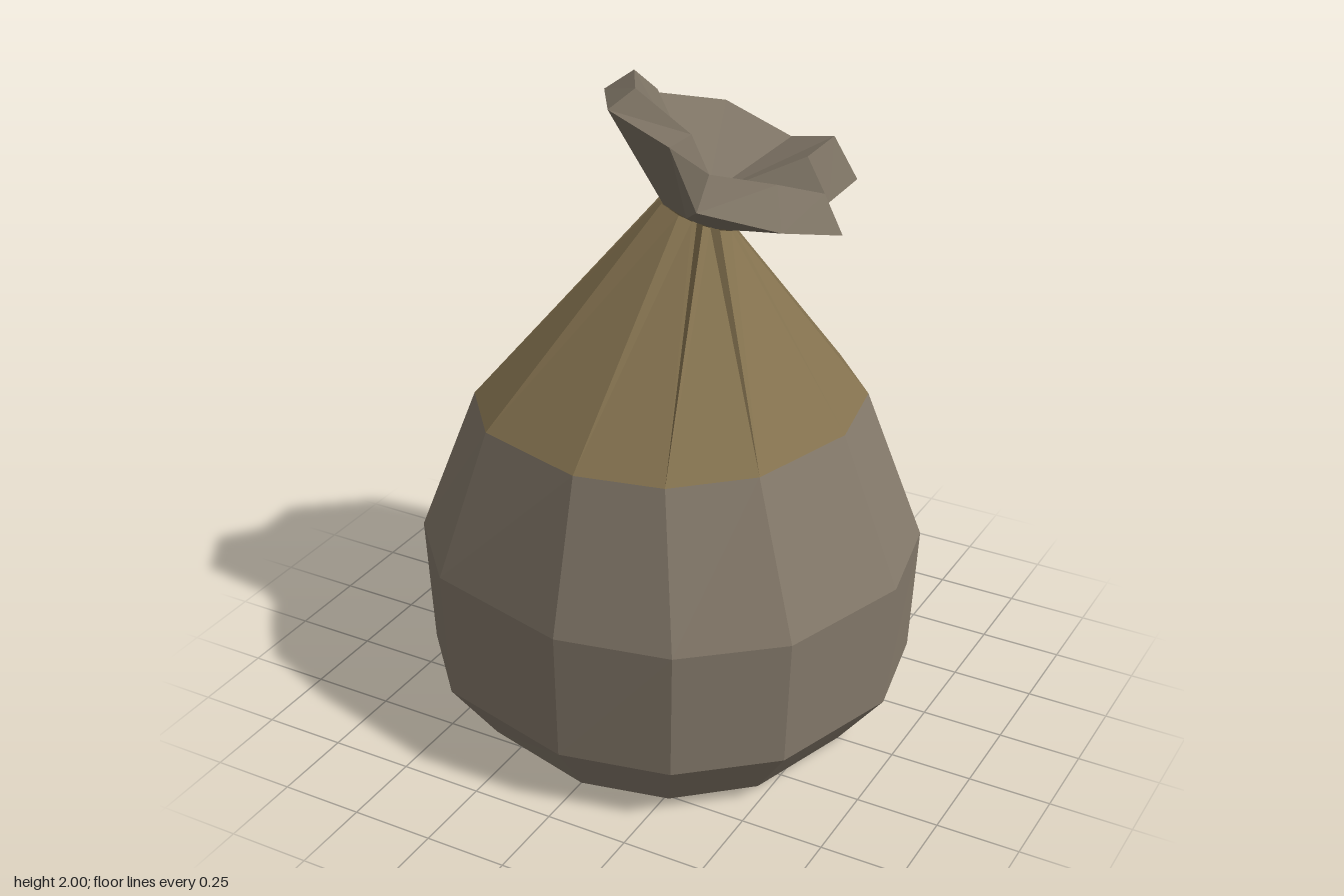
import * as THREE from 'three';

// Widest outline of the sack [x, z], clockwise seen from above
const OUTLINE = [
  [0, -0.71], [0.43, -0.57], [0.67, -0.33], [0.735, 0], [0.6, 0.41], [0.34, 0.63],
  [0, 0.7], [-0.46, 0.58], [-0.68, 0.34], [-0.735, 0.01], [-0.66, -0.31], [-0.42, -0.565],
];
// Flared mouth: outer hem and inner lip [x, y, z], same winding
const HEM = [
  [-0.29, 1.75, -0.29], [-0.1, 1.69, -0.495], [0.14, 1.6, -0.535], [0.36, 1.62, -0.46],
  [0.375, 1.63, -0.23], [0.5, 1.62, -0.055], [0.44, 1.71, 0.205], [0.255, 1.78, 0.34],
  [0.1, 1.89, 0.205], [-0.11, 1.95, 0.17], [-0.22, 1.94, 0], [-0.2, 1.85, -0.13],
];
const LIP = [
  [-0.205, 1.85, -0.27], [-0.06, 1.8, -0.435], [0.14, 1.71, -0.47], [0.305, 1.76, -0.41],
  [0.32, 1.77, -0.2], [0.44, 1.73, -0.06], [0.385, 1.81, 0.125], [0.25, 1.86, 0.26],
  [0.13, 1.91, 0.135], [-0.06, 2.0, 0.105], [-0.14, 2.0, -0.03], [-0.13, 1.91, -0.145],
];
const NECK = { x: 0.05, y: 1.6, z: -0.05 };

const ring = (y, sx, sz) => OUTLINE.map(([x, z]) => [x * sx, y, z * sz]);
const point = (x, y, z, n = 12) => Array.from({ length: n }, () => [x, y, z]);

// Point on the tilted neck at a given angle and radius
function neckPoint(angle, r) {
  const dx = Math.cos(angle) * r, dz = Math.sin(angle) * r;
  return [NECK.x + dx, NECK.y - 0.3 * dx + 0.3 * dz, NECK.z + dz];
}

// Faceted skin through a stack of rings, skipping collapsed triangles
function loft(name, color, rings) {
  const pos = [];
  const same = (p, q) => p.every((v, k) => Math.abs(v - q[k]) < 1e-6);
  const tri = (p, q, r) => {
    if (!same(p, q) && !same(q, r) && !same(r, p)) pos.push(...p, ...q, ...r);
  };
  for (let k = 0; k < rings.length - 1; k++) {
    const a = rings[k], b = rings[k + 1];
    for (let i = 0; i < a.length; i++) {
      const j = (i + 1) % a.length;
      tri(a[j], a[i], b[i]);
      tri(a[j], b[i], b[j]);
    }
  }
  const geo = new THREE.BufferGeometry();
  geo.setAttribute('position', new THREE.Float32BufferAttribute(pos, 3));
  geo.computeVertexNormals();
  const mesh = new THREE.Mesh(geo, new THREE.MeshStandardMaterial({
    color, flatShading: true, roughness: 0.9, side: THREE.DoubleSide,
  }));
  mesh.name = name;
  return mesh;
}

export function createModel() {
  const group = new THREE.Group();
  group.name = 'tiedSack';
  const shoulder = ring(1.04, 0.755, 0.82);

  // Bulging sack with a flat base
  group.add(loft('sackBody', 0x857a6b, [
    point(0, 0, 0), ring(0, 0.775, 0.81), ring(0.18, 0.97, 0.985), ring(0.58, 1, 1), shoulder,
  ]));

  // Gathered cone: creased columns fold inwards towards the neck
  const creased = [2, 4, 5, 8, 10];
  const low = [], high = [];
  OUTLINE.forEach(([x, z], i) => {
    const angle = Math.atan2(z, x), fold = creased.includes(i);
    const spread = fold ? 0.14 : 0;
    [-spread, 0, spread].forEach((d, k) => {
      low.push(shoulder[i]);
      high.push(neckPoint(angle + d, fold && k === 1 ? 0.065 : 0.11));
    });
  });
  group.add(loft('gatheredTop', 0x84724f, [low, high]));

  // Flared mouth above the tie: underside, hem, and inner bowl
  const collar = HEM.map(([x, , z]) => neckPoint(Math.atan2(z - NECK.z, x - NECK.x), 0.105));
  group.add(loft('flaredMouth', 0x7d7364, [collar, HEM, LIP, point(0.07, 1.65, -0.07)]));

  return group;
}
